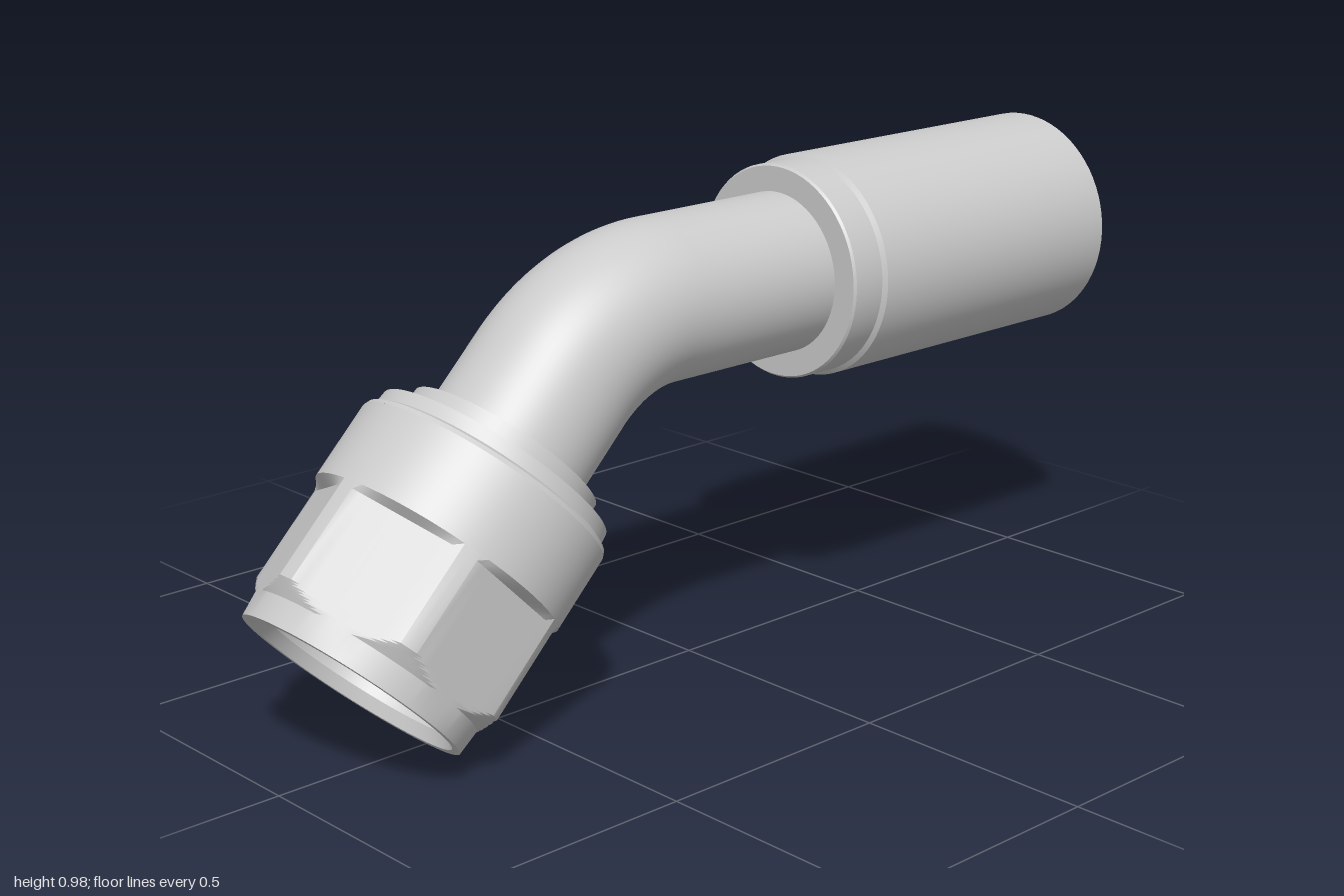
import * as THREE from 'three';
import { toCreasedNormals } from 'three/addons/utils/BufferGeometryUtils.js';

const grey = new THREE.MeshStandardMaterial({ color: 0xcccccc });
const inside = new THREE.MeshStandardMaterial({ color: 0xcccccc, side: THREE.BackSide });
const rad = THREE.MathUtils.degToRad;

function add(parent, name, geometry, material = grey) {
  const mesh = new THREE.Mesh(geometry, material);
  mesh.name = name;
  parent.add(mesh);
  return mesh;
}

// Turned part from [radius, height] pairs, outside listed upwards
function turned(points) {
  const profile = points.map(([r, s]) => new THREE.Vector2(r, s));
  return toCreasedNormals(new THREE.LatheGeometry(profile, 72), 0.45);
}

// Surface from a rule f(i, j) giving [radius, angle, height]
function grid(ni, nj, f) {
  const pos = [], index = [];
  for (let i = 0; i <= ni; i++) {
    for (let j = 0; j <= nj; j++) {
      const [r, a, s] = f(i, j);
      pos.push(r * Math.cos(a), s, r * Math.sin(a));
      if (i < ni && j < nj) {
        const k = i * (nj + 1) + j, up = k + nj + 1;
        index.push(k, up, k + 1, up, up + 1, k + 1);
      }
    }
  }
  const g = new THREE.BufferGeometry();
  g.setAttribute('position', new THREE.Float32BufferAttribute(pos, 3));
  g.setIndex(index);
  return toCreasedNormals(g, 0.45);
}

// Straight pipe along local y between two heights
function pipe(r, s0, s1) {
  return new THREE.CylinderGeometry(r, r, s1 - s0, 72, 1, true).translate(0, (s0 + s1) / 2, 0);
}

export function createModel() {
  const model = new THREE.Group();

  // Frames whose local y runs along the sleeve (+x) and along the sloping nut
  const straight = new THREE.Group();
  straight.name = 'hoseEnd';
  straight.position.set(0, 0.754, 0);
  straight.rotation.z = -Math.PI / 2;
  const slope = new THREE.Group();
  slope.name = 'nutEnd';
  slope.position.set(-0.835, 0.167, 0);
  slope.rotation.z = -Math.PI / 4;
  model.add(straight, slope);

  // Bent tube, outer skin and bore
  const bendX = -0.095, bendR = 0.37;
  for (const [r, mat, label, x1, s0] of [
    [0.163, grey, 'tube', 0.26, 0.5],
    [0.122, inside, 'bore', 0.975, 0.3],
  ]) {
    add(straight, label + 'Straight', pipe(r, bendX, x1), mat);
    const bend = add(model, label + 'Bend',
      new THREE.TorusGeometry(bendR, r, 72, 32, Math.PI / 4), mat);
    bend.position.set(bendX, 0.754 - bendR, 0);
    bend.rotation.z = Math.PI / 2;
    add(slope, label + 'Slope', pipe(r, s0, 0.677), mat);
  }

  // Crimp sleeve with collar and tapered mouth
  add(straight, 'sleeve', turned([
    [0.16, 0.24], [0.214, 0.24], [0.218, 0.245], [0.218, 0.318], [0.227, 0.325],
    [0.227, 1], [0.213, 1], [0.205, 0.94], [0.181, 0.8], [0.181, 0.36], [0.14, 0.36],
  ]));
  // Hose insert inside the sleeve
  add(straight, 'hoseInsert', turned([
    [0.152, 0.35], [0.152, 0.8], [0.13, 0.975], [0.122, 0.975],
  ]));

  // Nut: hex section with clipped corners and chamfered front
  const R = 0.262, apothem = 0.235, bandLow = 0.285, bandHigh = 0.441;
  const rows = [[0, 0.232], [0.05, 0.236]];
  for (let k = 1; k <= 8; k++) rows.push([0.05 + 0.03 * k / 8, 0.236 + 0.026 * k / 8]);
  rows.push([0.272, R], [bandLow, R]);
  add(slope, 'nutHex', grid(rows.length - 1, 96, (i, j) => {
    const a = j / 96 * Math.PI * 2;
    const flat = apothem / Math.cos((a % (Math.PI / 3)) - Math.PI / 6);
    const [s, r] = rows[i];
    return [i < rows.length - 1 ? Math.min(r, flat) : r, a, s];
  }));

  // Nut round band, open where the vent hole patch sits
  const holeA = rad(-48.75), halfA = rad(15);
  add(slope, 'nutBand', grid(1, 88, (i, j) =>
    [R, holeA + halfA + j / 88 * rad(330), i ? bandHigh : bandLow]));

  // Patch with the vent hole: hole wall, then rings widening to a rectangle
  const holeS = 0.378, holeR = 0.034, n = 12;
  add(slope, 'ventHole', grid(6, 4 * n, (i, j) => {
    const side = Math.floor(j / n) % 4, t = (j % n) / n * 2 - 1;
    const [u, v] = [[1, t], [-t, 1], [-1, -t], [t, -1]][side];
    const edgeS = (u > 0 ? bandHigh - holeS : holeS - bandLow) * u;
    const edgeV = halfA * R * v;
    const len = Math.hypot(edgeS, edgeV);
    const k = Math.max(0, i - 1) / 5;
    const ds = THREE.MathUtils.lerp(edgeS / len * holeR, edgeS, k);
    const dv = THREE.MathUtils.lerp(edgeV / len * holeR, edgeV, k);
    return [i ? R : 0.2, holeA + dv / R, holeS + ds];
  }));

  // Nut back shoulder and inner bore
  add(slope, 'nutShoulderAndBore', turned([
    [R, bandHigh], [0.258, 0.45], [0.246, 0.456], [0.243, 0.483], [0.208, 0.483],
    [0.201, 0.47], [0.201, 0.025], [0.215, 0], [0.232, 0],
  ]));

  // Flared nose held by the nut, showing as a ring behind it
  add(slope, 'flareSleeve', turned([
    [0.122, 0.3], [0.185, 0.2], [0.198, 0.2], [0.198, 0.52], [0.16, 0.52],
  ]));

  return model;
}
